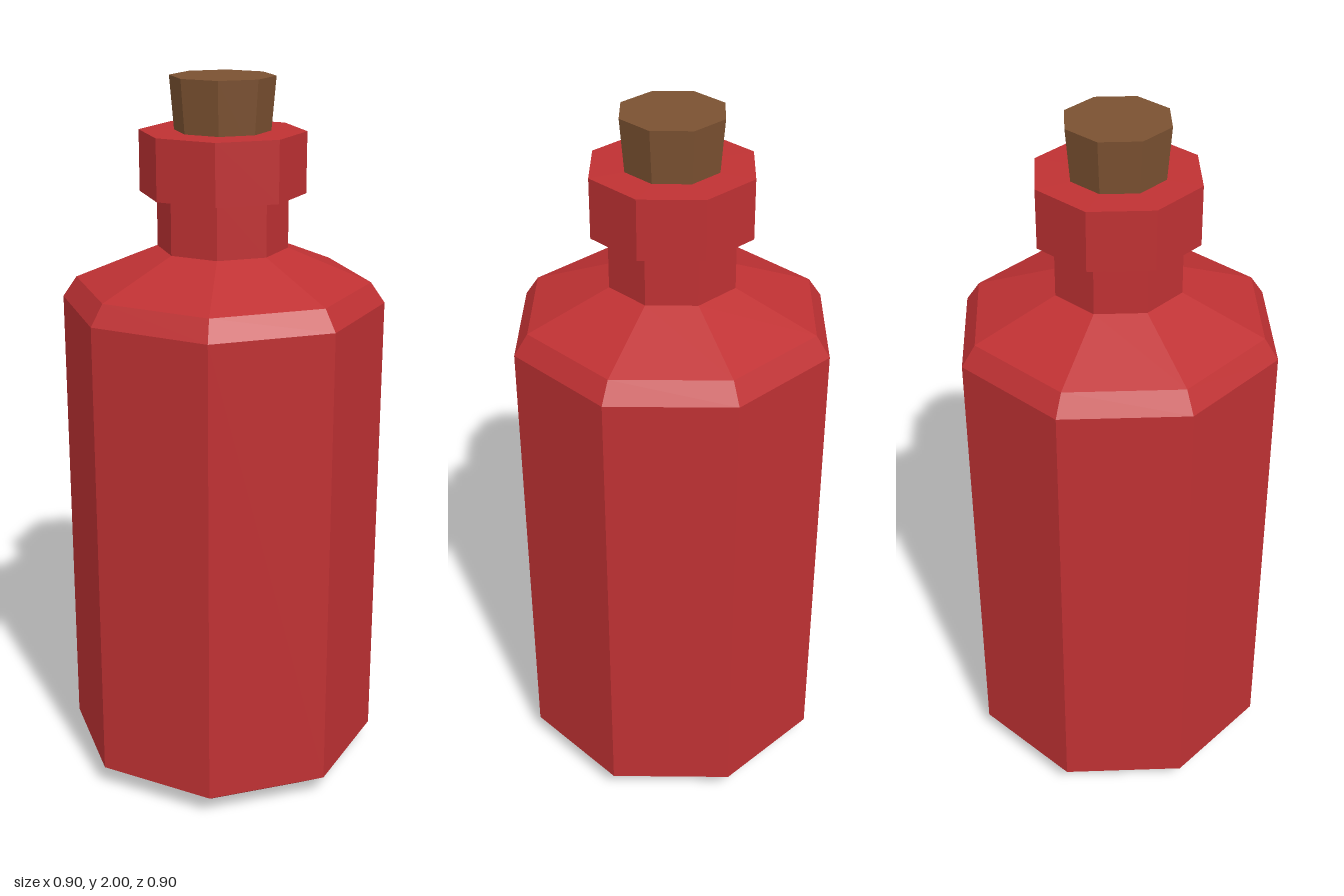
import * as THREE from 'three';

const SIDES = 8;
const TWIST = 0.028; // slight turn of the octagon about the vertical axis

export function createModel() {
  const group = new THREE.Group();
  group.name = 'corkedBottle';

  const red = new THREE.MeshStandardMaterial({ color: 0xbf3133, flatShading: true });
  red.name = 'red glass';
  const brown = new THREE.MeshStandardMaterial({ color: 0x7b5131, flatShading: true });
  brown.name = 'cork brown';

  // Faceted solid of revolution from [radius, height] pairs, bottom to top
  function turned(name, profile, material) {
    const points = profile.map(([r, y]) => new THREE.Vector2(r, y));
    const geometry = new THREE.LatheGeometry(points, SIDES, TWIST).toNonIndexed();
    geometry.computeVertexNormals();
    const mesh = new THREE.Mesh(geometry, material);
    mesh.name = name;
    group.add(mesh);
  }

  // Body with bevelled base, sloping shoulder and straight neck
  turned('body', [
    [0, 0], [0.355, 0], [0.449, 0.063], [0.449, 1.39],
    [0.41, 1.447], [0.18, 1.54], [0.18, 1.7],
  ], red);

  // Thick lip around the mouth
  turned('lip', [
    [0, 1.69], [0.227, 1.69], [0.227, 1.856], [0, 1.858],
  ], red);

  // Tapered stopper
  turned('cork', [
    [0, 1.8], [0.126, 1.8], [0.143, 2], [0, 2],
  ], brown);

  return group;
}
